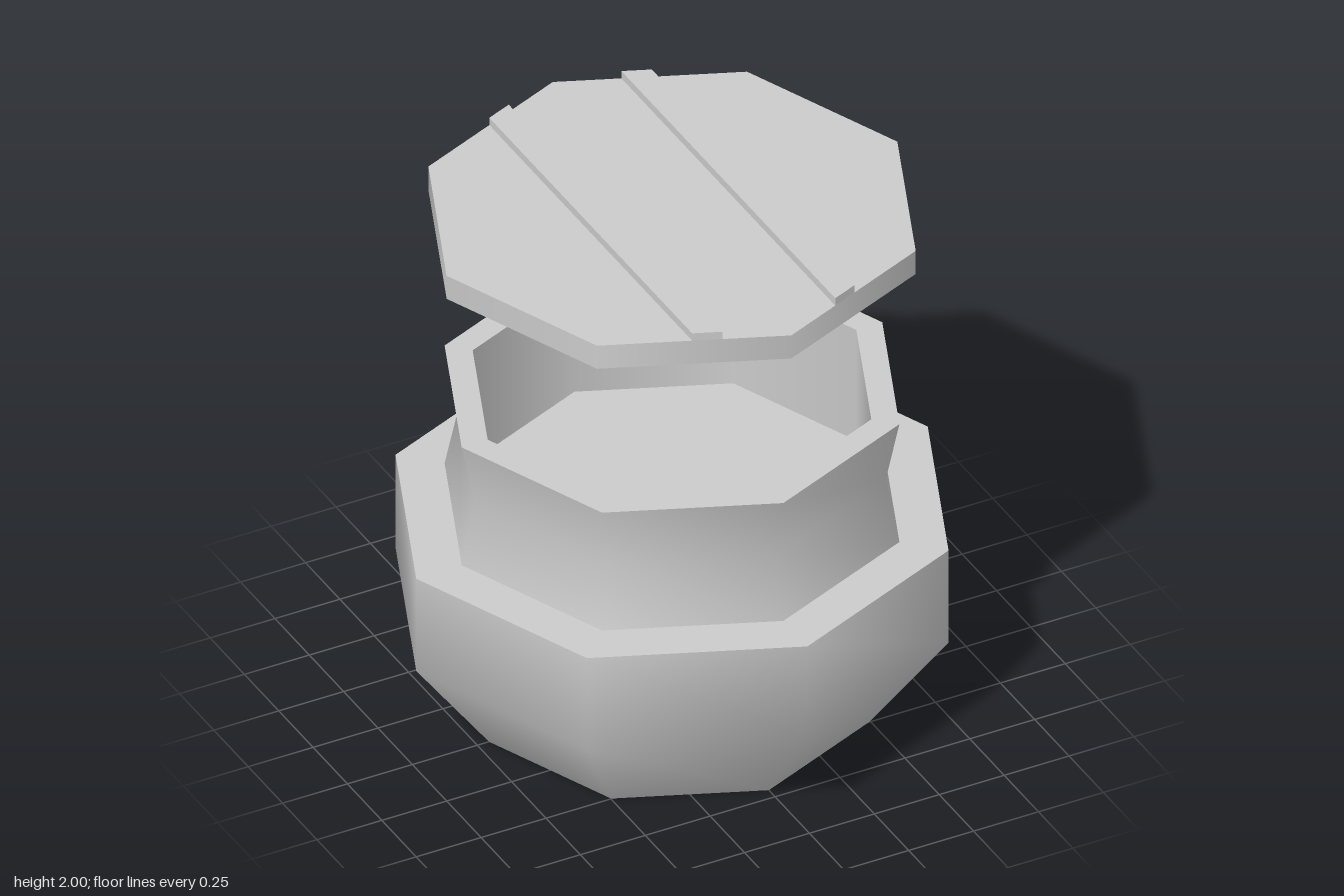
import * as THREE from 'three';

const SIDES = 8;

export function createModel() {
  const model = new THREE.Group();
  const material = new THREE.MeshStandardMaterial({ color: 0xcccccc });

  // Each profile is its own smooth band; edges between bands stay sharp.
  function turned(name, profiles) {
    const group = new THREE.Group();
    group.name = name;
    for (const [band, profile] of Object.entries(profiles)) {
      const points = profile.map(([r, y]) => new THREE.Vector2(r, y));
      const mesh = new THREE.Mesh(new THREE.LatheGeometry(points, SIDES), material);
      mesh.name = band;
      group.add(mesh);
    }
    model.add(group);
    return group;
  }

  // Wide bowl with a flat shoulder
  turned('bowl', {
    bowlBase: [[0, 0], [0.705, 0]],
    bowlWall: [[0.705, 0], [0.985, 0.38], [0.985, 0.76]],
    bowlShoulder: [[0.985, 0.76], [0.81, 0.76]],
  });

  // Waisted neck with a straight recess
  turned('neck', {
    neckWall: [[0.81, 0.76], [0.76, 1.0], [0.81, 1.245]],
    neckRim: [[0.81, 1.245], [0.71, 1.245]],
    recessWall: [[0.71, 1.245], [0.71, 0.79]],
    recessFloor: [[0.71, 0.79], [0, 0.79]],
  });

  // Raised lid
  const lidRadius = 0.868, lidTop = 1.97;
  const lid = turned('lid', {
    lidUnderside: [[0, 1.875], [lidRadius, 1.875]],
    lidEdge: [[lidRadius, 1.875], [lidRadius, lidTop]],
    lidTop: [[lidRadius, lidTop], [0, lidTop]],
  });

  // Two battens across the lid, their ends trimmed to its octagonal edge
  const edgeZ = (x) => lidRadius - Math.abs(x) * Math.tan(Math.PI / 8);
  for (const side of [-1, 1]) {
    const a = side * 0.265 - 0.048, b = side * 0.265 + 0.048;
    const outline = new THREE.Shape([
      new THREE.Vector2(a, -edgeZ(a)), new THREE.Vector2(b, -edgeZ(b)),
      new THREE.Vector2(b, edgeZ(b)), new THREE.Vector2(a, edgeZ(a)),
    ]);
    const geometry = new THREE.ExtrudeGeometry(outline, { depth: 0.03, bevelEnabled: false });
    geometry.rotateX(-Math.PI / 2).translate(0, lidTop, 0);
    const batten = new THREE.Mesh(geometry, material);
    batten.name = side > 0 ? 'leftBatten' : 'rightBatten';
    lid.add(batten);
  }

  return model;
}
